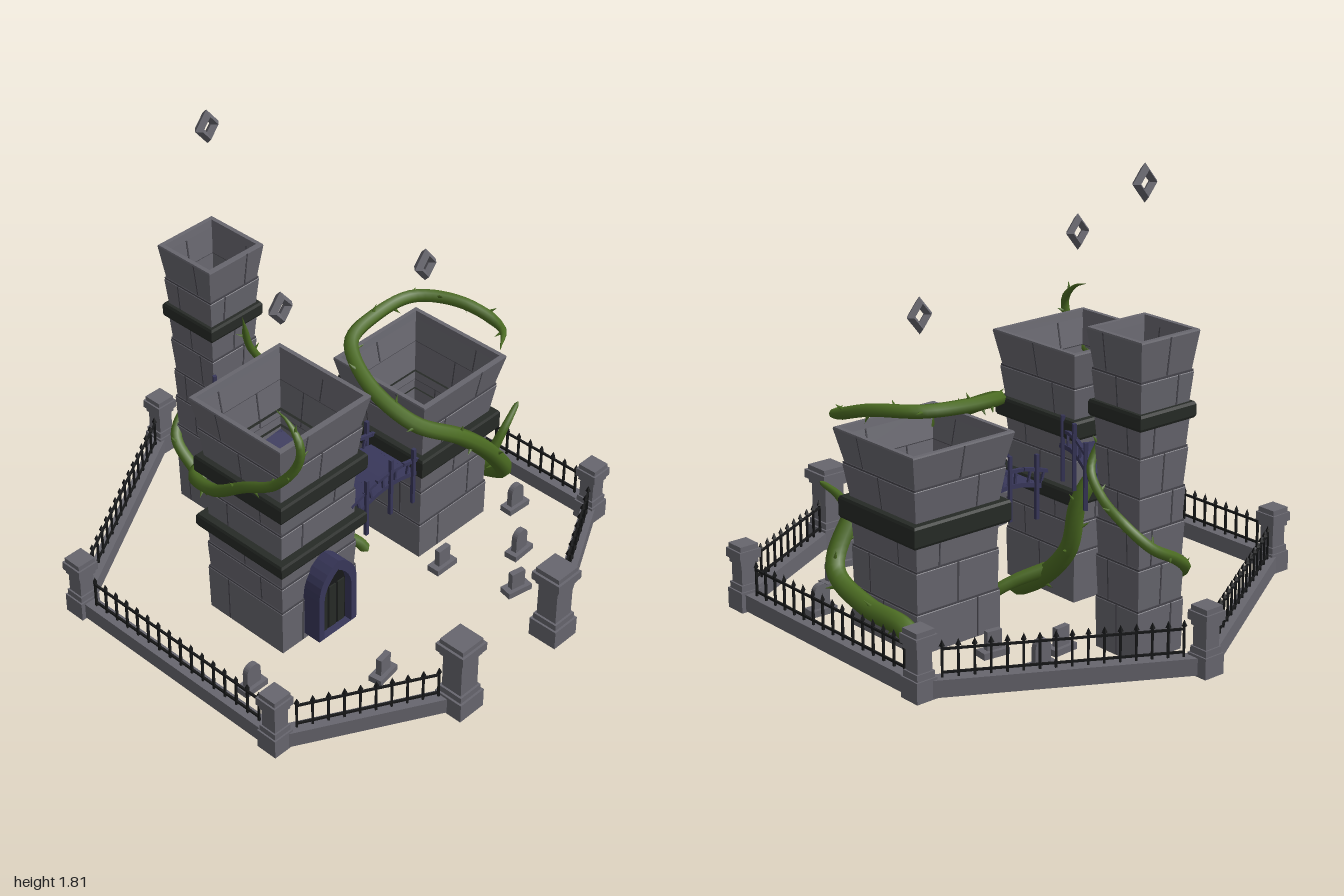
import * as THREE from 'three';

const mat = (name, color, extra = {}) => Object.assign(new THREE.MeshStandardMaterial({ color, ...extra }), { name });
const stone = mat('stone', 0x67666e, { flatShading: true, side: THREE.DoubleSide });
const joint = mat('jointShadow', 0x46454c, { flatShading: true });
const band = mat('darkBand', 0x262a26, { flatShading: true, side: THREE.DoubleSide });
const navy = mat('navyWood', 0x38375a, { flatShading: true });
const iron = mat('iron', 0x171819, { flatShading: true });
const green = mat('vine', 0x4b6b22, { side: THREE.DoubleSide });

const V = (a) => new THREE.Vector3(...a);

function add(parent, name, geo, material, x = 0, y = 0, z = 0) {
  const m = new THREE.Mesh(geo, material);
  m.name = name;
  m.position.set(x, y, z);
  parent.add(m);
  return m;
}
const box = (parent, name, material, w, h, d, x, y, z) =>
  add(parent, name, new THREE.BoxGeometry(w, h, d), material, x, y, z);
function group(parent, name, x = 0, y = 0, z = 0, ry = 0) {
  const g = new THREE.Group();
  g.name = name;
  g.position.set(x, y, z);
  g.rotation.y = ry;
  parent.add(g);
  return g;
}

// Square ring swept from a [width, y] profile
const squareLathe = (pts) =>
  new THREE.LatheGeometry(pts.map(([w, y]) => new THREE.Vector2(w * Math.SQRT1_2, y)), 4, Math.PI / 4);

// Hollow tower of stacked, slightly flared courses
function tower(parent, name, x, z, levels, bands) {
  const g = group(parent, name, x, 0, z);
  const profile = [];
  for (let i = 0; i < levels.length - 1; i++) {
    const [w0, y0] = levels[i], [w1, y1] = levels[i + 1];
    profile.push([w0 - 0.008, y0], [w1 + 0.004, y1 - 0.006]);
    for (let k = 0; k < 4; k++) {
      const side = group(g, 'courseJoints', 0, 0, 0, k * Math.PI / 2);
      const px = ((i * 2 + k) % 3 - 1) * w0 * 0.22;
      const m = box(side, 'verticalJoint', joint, 0.006, y1 - y0 - 0.006, 0.004, px, (y0 + y1) / 2, (w0 + w1 - 0.004) / 4);
      m.rotation.x = Math.atan((w1 - w0 + 0.012) / 2 / (y1 - y0));
      if (i) box(side, 'courseLine', joint, w0, 0.007, 0.004, 0, y0, w0 / 2 - 0.001);
    }
  }
  const [tw, ty] = levels[levels.length - 1];
  profile.push([tw, ty], [tw - 0.035, ty], [tw - 0.045, ty - 0.03]);
  add(g, 'towerWalls', squareLathe(profile), stone);
  for (const [w, y0, y1] of bands) {
    const c = 0.01, inr = w - 0.08;
    add(g, 'towerBand', squareLathe([[inr, y0], [w - c, y0], [w, y0 + c], [w, y1 - c], [w - c, y1], [inr, y1]]), band);
  }
}

// Arched footbridge with hanging posts
function bridge(parent, name, a, b, width) {
  const A = V(a), B = V(b), d = B.clone().sub(A), len = Math.hypot(d.x, d.z);
  const g = group(parent, name, a[0], 0, a[2], Math.atan2(-d.z, d.x));
  const yAt = (t) => A.y + d.y * t + 0.04 * Math.sin(Math.PI * t);
  const n = 6;
  for (let i = 0; i < n; i++) {
    const t0 = i / n, t1 = (i + 1) / n, dx = len / n, dy = yAt(t1) - yAt(t0);
    const seg = group(g, 'bridgeSpan', (t0 + t1) / 2 * len, (yAt(t0) + yAt(t1)) / 2, 0);
    seg.rotation.z = Math.atan2(dy, dx);
    const l = Math.hypot(dx, dy) + 0.003;
    box(seg, 'deck', navy, l, 0.018, width, 0, 0, 0);
    for (const s of [-1, 1]) {
      box(seg, 'handrail', navy, l, 0.014, 0.014, 0, 0.06, s * (width / 2 - 0.005));
      box(seg, 'baluster', navy, 0.009, 0.06, 0.009, 0, 0.03, s * (width / 2 - 0.005));
    }
  }
  for (const t of [0.15, 0.5, 0.83]) for (const s of [-1, 1])
    box(g, 'bridgePost', navy, 0.014, 0.26, 0.014, t * len, yAt(t) - 0.005, s * (width / 2 + 0.004));
}

// Tapered, thorny vine along a smooth path
function vine(parent, name, pts, r0, r1, thorns = true) {
  const g = group(parent, name);
  const curve = new THREE.CatmullRomCurve3(pts.map(V));
  const n = pts.length * 6, rad = 7;
  const geo = new THREE.TubeGeometry(curve, n, 1, rad);
  const pos = geo.attributes.position, p = new THREE.Vector3();
  const rAt = (t) => (r0 + (r1 - r0) * t) * Math.min(1, (1 - t) * 14 + 0.04) * Math.min(1, t * 30 + 0.3);
  for (let i = 0; i <= n; i++) {
    const c = curve.getPointAt(i / n);
    for (let j = 0; j <= rad; j++) {
      const k = i * (rad + 1) + j;
      p.fromBufferAttribute(pos, k).sub(c).multiplyScalar(rAt(i / n)).add(c);
      pos.setXYZ(k, p.x, p.y, p.z);
    }
  }
  add(g, 'vineStem', geo, green);
  if (!thorns) return;
  const count = Math.round(curve.getLength() / 0.1);
  for (let i = 1; i < count; i++) {
    const t = i / count, tan = curve.getTangentAt(t), r = rAt(t);
    const dir = new THREE.Vector3(0, 1, 0).cross(tan).normalize().applyAxisAngle(tan, i * 2.4);
    const c = curve.getPointAt(t).addScaledVector(dir, r + 0.008);
    const thorn = add(g, 'thorn', new THREE.ConeGeometry(0.008, 0.034, 5), green, c.x, c.y, c.z);
    thorn.quaternion.setFromUnitVectors(new THREE.Vector3(0, 1, 0), dir.addScaledVector(tan, 0.6).normalize());
  }
}

function pillar(parent, x, z, w, top) {
  const g = group(parent, 'fencePillar', x, 0, z);
  const layers = [[1, 0.03, 0.11], [0.86, 0.11, 0.135], [0.72, 0.135, top - 0.075], [0.86, top - 0.075, top - 0.055],
    [1.04, top - 0.055, top - 0.02], [0.88, top - 0.02, top]];
  for (const [k, y0, y1] of layers) box(g, 'pillarBlock', stone, w * k, y1 - y0, w * k, 0, (y0 + y1) / 2, 0);
}

// Low wall with iron railing between two corners
function fence(parent, [x0, z0], [x1, z1]) {
  const len = Math.hypot(x1 - x0, z1 - z0);
  const g = group(parent, 'fenceSide', (x0 + x1) / 2, 0, (z0 + z1) / 2, Math.atan2(z0 - z1, x1 - x0));
  box(g, 'lowWall', stone, len, 0.065, 0.055, 0, 0.068, 0);
  const span = len - 0.16, n = Math.round(span / 0.058);
  for (const y of [0.118, 0.205]) box(g, 'fenceRail', iron, span, 0.008, 0.008, 0, y, 0);
  for (let i = 0; i <= n; i++) {
    const x = -span / 2 + span * i / n;
    box(g, 'fenceBar', iron, 0.008, 0.13, 0.008, x, 0.16, 0);
    add(g, 'fenceSpike', new THREE.ConeGeometry(0.011, 0.025, 4), iron, x, 0.228, 0);
  }
}

function archShape(w, h, spring) {
  const s = new THREE.Shape();
  s.moveTo(-w / 2, 0);
  s.lineTo(w / 2, 0);
  s.lineTo(w / 2, spring);
  s.quadraticCurveTo(w / 2, h - 0.05, 0, h);
  s.quadraticCurveTo(-w / 2, h - 0.05, -w / 2, spring);
  s.closePath();
  return s;
}
const extrude = (shape, depth) => new THREE.ExtrudeGeometry(shape, { depth, bevelEnabled: false, curveSegments: 6 });

export function createModel() {
  const root = new THREE.Group();
  root.name = 'towerRuin';

  tower(root, 'leftTower', -0.315, 0.065,
    [[0.395, 0], [0.39, 0.2], [0.39, 0.32], [0.39, 0.43], [0.385, 0.57], [0.395, 0.7], [0.42, 0.86], [0.46, 1]],
    [[0.45, 0.4, 0.458], [0.45, 0.66, 0.735]]);
  tower(root, 'rightTower', 0.443, 0.062,
    [[0.395, 0], [0.385, 0.16], [0.38, 0.32], [0.385, 0.47], [0.42, 0.64], [0.465, 0.775]],
    [[0.45, 0.425, 0.51]]);
  tower(root, 'backTower', -0.023, -0.59,
    [[0.225, 0], [0.22, 0.2], [0.22, 0.36], [0.22, 0.5], [0.22, 0.63], [0.23, 0.78], [0.238, 0.92], [0.25, 1.06], [0.277, 1.21]],
    [[0.27, 0.885, 0.945]]);

  bridge(root, 'lowBridge', [-0.12, 0.43, 0.14], [0.26, 0.43, 0.14], 0.235);
  bridge(root, 'highBridge', [-0.215, 0.61, -0.08], [-0.03, 0.59, -0.47], 0.2);

  // Pointed doorway
  const door = group(root, 'doorway', -0.295, 0.03, 0.25);
  const frame = archShape(0.2, 0.345, 0.2);
  frame.holes.push(archShape(0.145, 0.3, 0.18));
  add(door, 'doorFrame', extrude(frame, 0.088), navy);
  add(door, 'doorPanel', extrude(archShape(0.15, 0.305, 0.18), 0.03), iron, 0, 0, 0.025);
  for (const x of [-0.045, 0, 0.045]) box(door, 'doorPlank', band, 0.034, 0.2, 0.008, x, 0.105, 0.057);

  // Hexagonal boundary, open at the gate
  const corners = [[-0.28, 0.93], [-0.885, 0.595], [-0.885, -0.435], [0, -0.955], [0.885, -0.455], [0.885, 0.595], [0.25, 0.93]];
  corners.forEach(([x, z], i) => {
    const gate = i === 0 || i === 6;
    pillar(root, x, z, gate ? 0.125 : 0.09, gate ? 0.36 : 0.29);
    if (i) fence(root, corners[i - 1], corners[i]);
  });

  // Gravestones: x, z, turn
  const graves = [[0.265, -0.49, 0.08], [0.42, -0.56, -0.08], [0.47, -0.355, -0.12], [-0.74, 0.33, 0], [-0.36, 0.63, 0.16],
    [0.51, 0.545, 0.05], [0.335, 0.68, -0.2], [0.71, 0.355, -0.05], [0.24, 0.385, 0]];
  graves.forEach(([x, z, ry], i) => {
    const g = group(root, 'gravestone', x, 0.035, z, ry);
    box(g, 'graveBase', stone, 0.11, 0.025, 0.055, 0, 0.0125, 0);
    if (i % 2) {
      const s = new THREE.Shape();
      s.moveTo(-0.034, 0);
      s.lineTo(0.034, 0);
      s.lineTo(0.034, 0.06);
      s.absarc(0, 0.06, 0.034, 0, Math.PI, false);
      add(g, 'graveSlab', extrude(s, 0.024), stone, 0, 0.025, -0.012);
    } else box(g, 'graveSlab', stone, 0.062, 0.075, 0.024, 0, 0.06, 0);
  });

  // Floating crystal rings
  for (const [x, y, z] of [[-0.025, 1.725, -0.585], [-0.31, 1.385, 0.07], [0.448, 1.2, 0.07]]) {
    const ring = add(root, 'floatingRing', new THREE.TorusGeometry(0.043, 0.021, 4, 4), stone, x, y, z);
    ring.scale.set(0.9, 1.1, 1);
  }

  // Vines
  vine(root, 'rightVine', [[0.64, 0.01, -0.18], [0.67, 0.11, -0.1], [0.69, 0.14, 0.1], [0.68, 0.22, 0.3], [0.55, 0.4, 0.35],
    [0.35, 0.6, 0.36], [0.18, 0.71, 0.27], [0.14, 0.81, 0.08], [0.22, 0.88, -0.09], [0.4, 0.9, -0.13], [0.58, 0.91, -0.1],
    [0.69, 0.9, 0.06], [0.72, 0.85, 0.23], [0.62, 0.84, 0.31]], 0.042, 0.022);
  vine(root, 'rightVineShoot', [[0.57, 0.4, 0.34], [0.62, 0.48, 0.35], [0.71, 0.56, 0.34]], 0.022, 0.01, false);
  vine(root, 'leftVine', [[-0.04, 0, 0.14], [-0.05, 0.1, -0.03], [-0.07, 0.25, -0.16], [-0.08, 0.44, -0.2], [-0.16, 0.55, -0.22],
    [-0.35, 0.6, -0.22], [-0.5, 0.6, -0.2], [-0.55, 0.64, -0.05], [-0.55, 0.75, 0.12], [-0.54, 0.84, 0.27], [-0.51, 0.94, 0.34],
    [-0.5, 1.03, 0.35], [-0.49, 1.1, 0.28], [-0.49, 1.12, 0.22]], 0.042, 0.014);
  vine(root, 'leftVineRoot', [[-0.06, 0.14, -0.06], [0.05, 0.09, 0.02], [0.11, 0.05, 0.06], [0.135, 0, 0.09]], 0.03, 0.022, false);
  vine(root, 'backVine', [[-0.16, 0.13, -0.45], [-0.17, 0.22, -0.56], [-0.15, 0.31, -0.69], [-0.06, 0.38, -0.73], [0.06, 0.45, -0.73],
    [0.12, 0.53, -0.66], [0.12, 0.6, -0.54], [0.09, 0.68, -0.45], [0.02, 0.8, -0.44], [-0.02, 0.95, -0.43]], 0.027, 0.013);

  return root;
}
